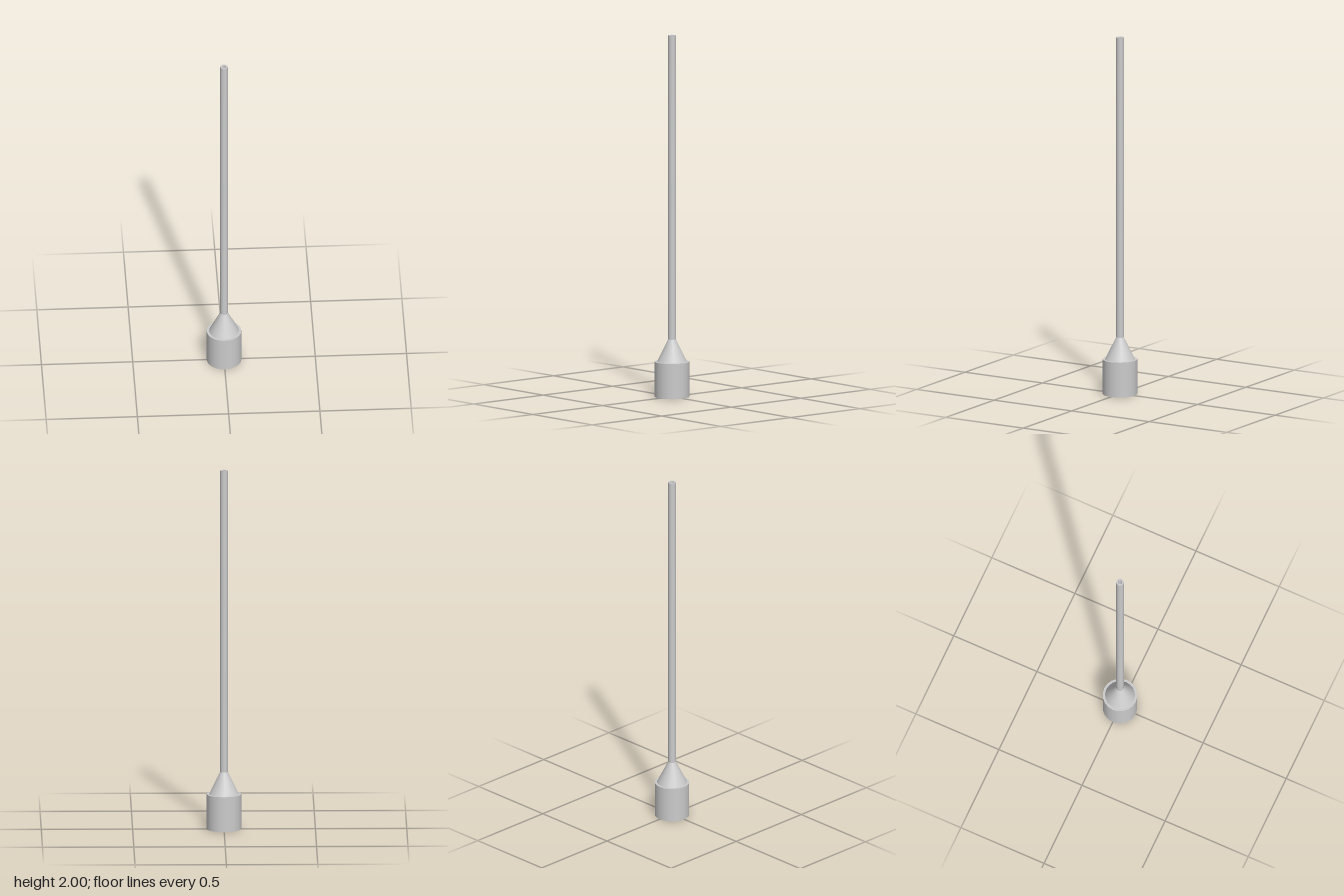
import * as THREE from 'three';

const SIDES = 20;
const material = new THREE.MeshStandardMaterial({ color: 0xcccccc, side: THREE.DoubleSide });

// Turned part: each pair of neighbouring profile points [radius, y] becomes its
// own smooth band, so the edges between bands stay sharp.
function turned(name, profile) {
  const part = new THREE.Group();
  part.name = name;
  for (let i = 0; i < profile.length - 1; i++) {
    const points = [profile[i], profile[i + 1]].map(([r, y]) => new THREE.Vector2(r, y));
    const band = new THREE.Mesh(new THREE.LatheGeometry(points, SIDES), material);
    band.name = `${name}Band${i + 1}`;
    part.add(band);
  }
  return part;
}

export function createModel() {
  const model = new THREE.Group();
  model.name = 'nozzle';

  // Closed cylindrical base with a flat shoulder
  model.add(turned('base', [[0, 0], [0.095, 0], [0.095, 0.195], [0.082, 0.195]]));

  // Cone tapering from the shoulder to the tube
  model.add(turned('cone', [[0.082, 0.195], [0.021, 0.318]]));

  // Long slim tube: outer wall, rim, bore and bore floor
  model.add(turned('tube', [[0.021, 0.318], [0.021, 2], [0.012, 2], [0.012, 0.318], [0, 0.318]]));

  return model;
}
